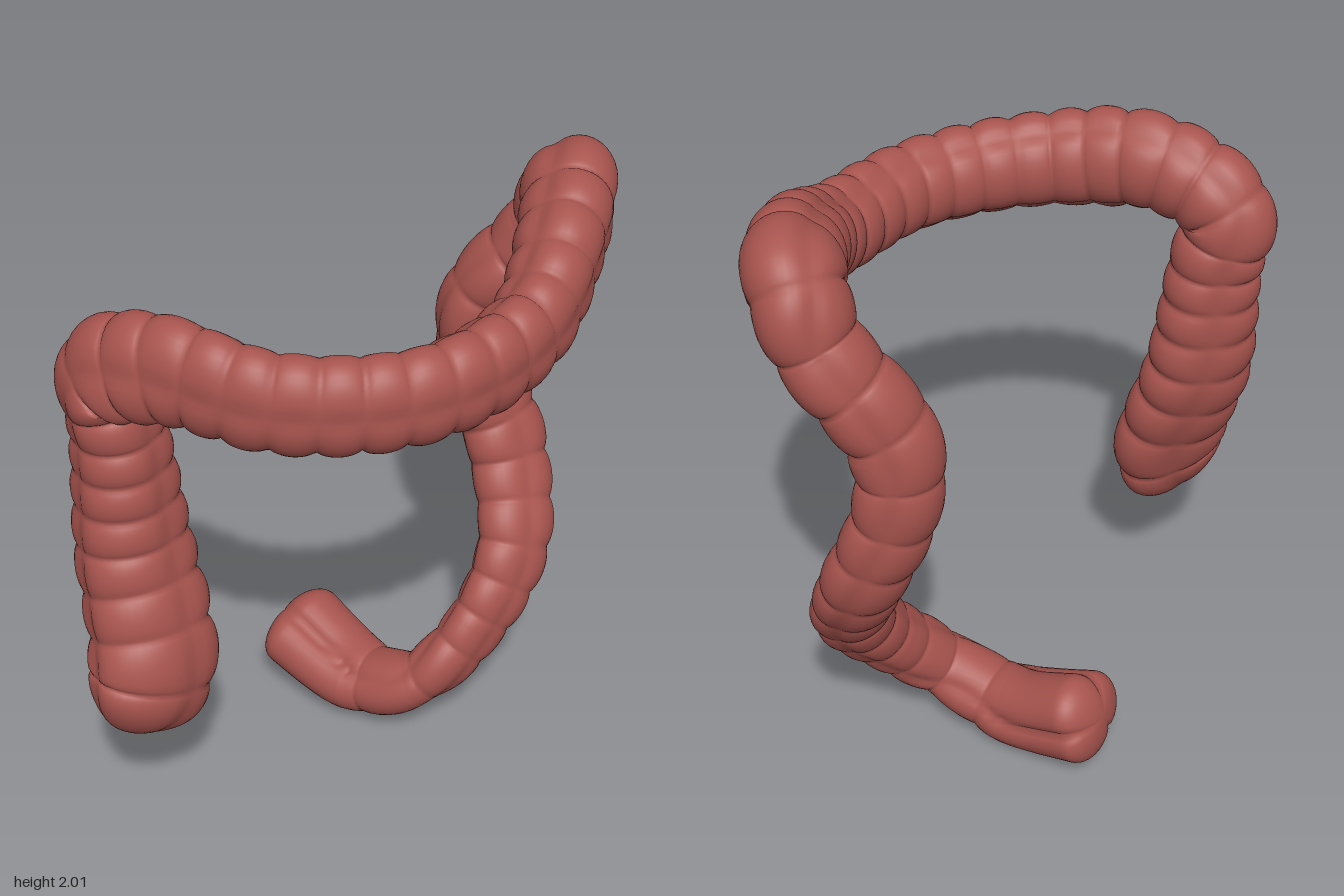
import * as THREE from 'three';

// Centre line of the bowel: x, y, z and mean radius
const CENTRE_LINE = [
  // rising part, from the blind pouch
  [-0.79, 0.46, 0.05, 0.17],
  [-0.7, 0.65, 0.035, 0.174],
  [-0.685, 1.03, -0.095, 0.164],
  [-0.69, 1.4, -0.135, 0.14],
  [-0.71, 1.58, -0.15, 0.142],
  // crossing part
  [-0.61, 1.68, 0.03, 0.14],
  [-0.38, 1.655, 0.3, 0.13],
  [0, 1.645, 0.425, 0.127],
  [0.38, 1.675, 0.315, 0.13],
  [0.62, 1.805, 0.11, 0.145],
  [0.745, 1.84, -0.065, 0.152],
  // falling part
  [0.73, 1.68, -0.155, 0.132],
  [0.59, 1.4, -0.285, 0.132],
  [0.59, 1.18, -0.295, 0.127],
  [0.645, 0.88, -0.195, 0.127],
  [0.585, 0.61, -0.035, 0.115],
  // winding part and smooth end
  [0.42, 0.38, 0.02, 0.099],
  [0.24, 0.2, -0.02, 0.1],
  [0.13, 0.125, -0.21, 0.128],
  [0.01, 0.21, -0.515, 0.152],
];

// Cross-section along the line: station, wide direction, flatness, bulge length
const SECTIONS = [
  { at: 0, wide: [0, 0, -1], flat: -0.24, bulge: 0.2 },
  { at: 3, wide: [0, 0, -1], flat: 0, bulge: 0.1 },
  { at: 5.5, wide: [0, 1, 0], flat: 0.17, bulge: 0.115 },
  { at: 9.5, wide: [0, 1, 0], flat: 0.06, bulge: 0.12 },
  { at: 12, wide: [1, 0, -0.3], flat: 0.08, bulge: 0.17 },
  { at: 16, wide: [1, 0, -0.1], flat: 0.12, bulge: 0.12 },
  { at: 19, wide: [1, 0, -0.35], flat: 0.04, bulge: 0.3 },
];

const LAST = CENTRE_LINE.length - 1;
const SIDES = 42;
const STEPS = 40;
const { lerp, smoothstep } = THREE.MathUtils;

// Ring positions, crowded towards both rounded ends
function ringStations() {
  const list = [];
  for (let i = 0; i < STEPS; i++) list.push(1 - Math.cos((i / STEPS) * Math.PI / 2));
  for (let i = STEPS; i <= (LAST - 1) * STEPS; i++) list.push(i / STEPS);
  for (let i = 1; i <= STEPS; i++) list.push(LAST - 1 + Math.sin((i / STEPS) * Math.PI / 2));
  return list;
}

// Blended cross-section at a station
function sectionAt(s) {
  const next = Math.max(1, SECTIONS.findIndex((section) => section.at >= s));
  const a = SECTIONS[next - 1];
  const b = SECTIONS[next];
  const f = (s - a.at) / (b.at - a.at);
  const k = Math.min(Math.floor(s), LAST - 1);
  return {
    wide: new THREE.Vector3(...a.wide).lerp(new THREE.Vector3(...b.wide), f),
    flat: lerp(a.flat, b.flat, f),
    bulge: lerp(a.bulge, b.bulge, f),
    radius: lerp(CENTRE_LINE[k][3], CENTRE_LINE[k + 1][3], s - k),
  };
}

// Domed closing of both ends
function domeAt(s) {
  const t = Math.max(0, 1 - s, (s - LAST + 0.25) / 0.25);
  return Math.sqrt(Math.max(0, 1 - t * t));
}

// Three-lobed tube with rounded bulges, swept along the centre line
function bowelGeometry() {
  const path = new THREE.CatmullRomCurve3(CENTRE_LINE.map(([x, y, z]) => new THREE.Vector3(x, y, z)));
  const previous = path.getPoint(0);
  const positions = [];
  const indices = [];
  let phase = 0;

  ringStations().forEach((s, ring) => {
    const { wide, flat, bulge, radius } = sectionAt(s);
    const point = path.getPoint(s / LAST);
    const tangent = path.getTangent(s / LAST);
    wide.addScaledVector(tangent, -wide.dot(tangent)).normalize();
    const narrow = new THREE.Vector3().crossVectors(tangent, wide);
    phase += point.distanceTo(previous) / bulge;
    previous.copy(point);

    // the lobes bulge while the lengthwise grooves run on evenly;
    // towards the smooth end the bulges fade and the grooves deepen and turn
    const smoothEnd = smoothstep(s, LAST - 1.5, LAST - 0.6);
    const groove = lerp(0.2, 0.3, smoothEnd);
    const pinch = lerp(0.14, 0, smoothEnd) * (1 - Math.sqrt(Math.abs(Math.sin(Math.PI * phase))));
    const lobeAngle = lerp(Math.PI / 6, Math.PI / 3, smoothEnd);
    const size = 1.06 * radius * domeAt(s);

    for (let j = 0; j < SIDES; j++) {
      const angle = (j / SIDES) * Math.PI * 2;
      const lobe = Math.abs(Math.cos(1.5 * (angle - lobeAngle))) ** 0.6;
      const r = size * (1 - groove + (groove - pinch) * lobe);
      const p = point.clone()
        .addScaledVector(wide, Math.cos(angle) * r * (1 + flat))
        .addScaledVector(narrow, Math.sin(angle) * r * (1 - flat));
      positions.push(p.x, p.y, p.z);
      if (ring > 0) {
        const a = (ring - 1) * SIDES + j;
        const b = (ring - 1) * SIDES + ((j + 1) % SIDES);
        indices.push(a, b, a + SIDES, b, b + SIDES, a + SIDES);
      }
    }
  });

  const geometry = new THREE.BufferGeometry();
  geometry.setAttribute('position', new THREE.Float32BufferAttribute(positions, 3));
  geometry.setIndex(indices);
  geometry.computeVertexNormals();
  return geometry;
}

export function createModel() {
  const group = new THREE.Group();
  group.name = 'largeIntestine';
  const tissue = new THREE.MeshStandardMaterial({ color: 0xa8544e });
  tissue.name = 'tissueRed';
  const bowel = new THREE.Mesh(bowelGeometry(), tissue);
  bowel.name = 'bowelTube';
  group.add(bowel);
  return group;
}
